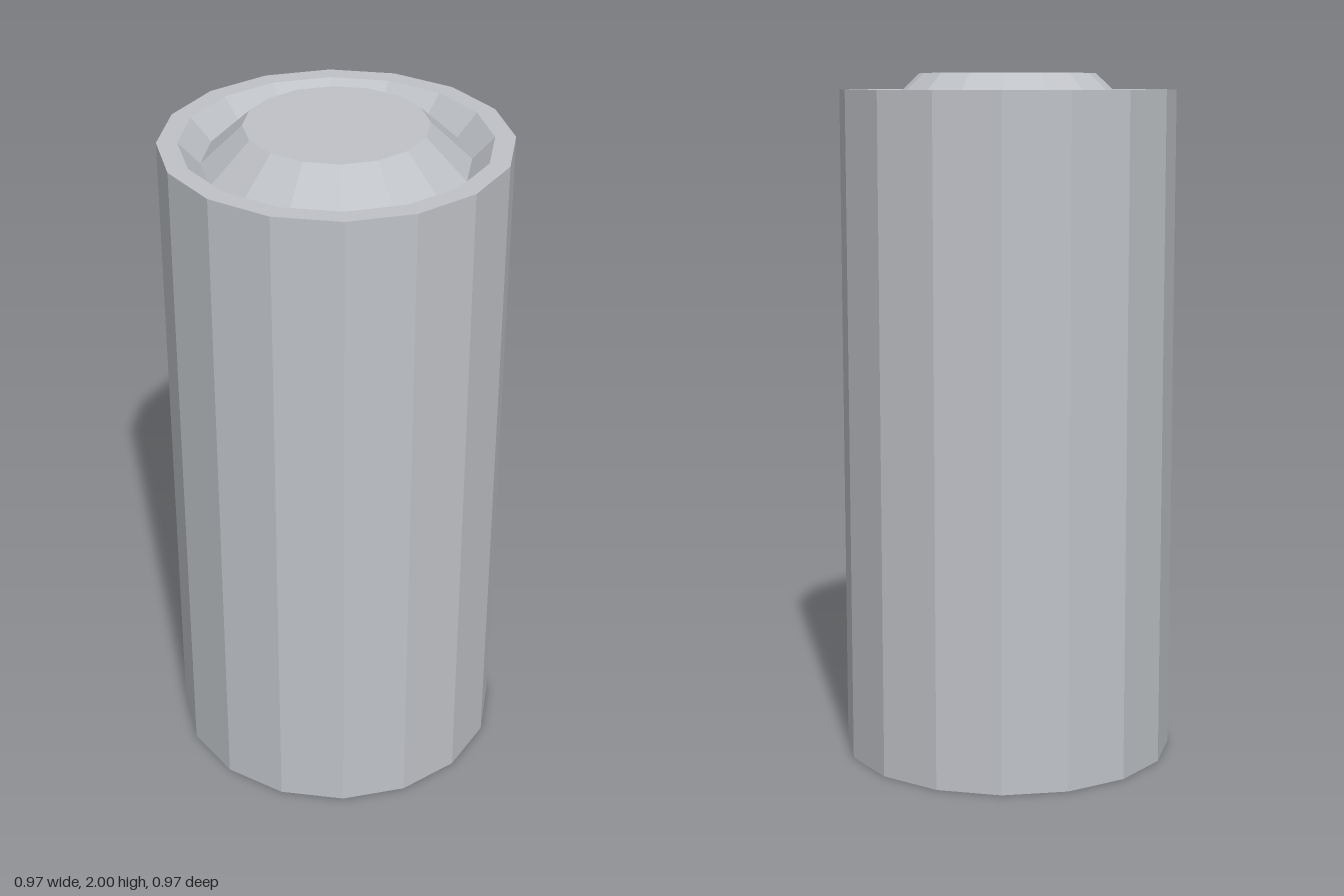
import * as THREE from 'three';

const SIDES = 16;

export function createModel() {
  const model = new THREE.Group();
  model.name = 'cylinderCell';
  const metal = new THREE.MeshStandardMaterial({ color: 0xbfc2c7, flatShading: true });
  metal.name = 'grey metal';

  // Faceted turned part from [radius, height] pairs, listed from the underside up
  const turned = (name, profile) => {
    const points = profile.map(([r, y]) => new THREE.Vector2(r, y));
    const mesh = new THREE.Mesh(new THREE.LatheGeometry(points, SIDES), metal);
    mesh.name = name;
    model.add(mesh);
  };

  // Recessed base panel
  turned('basePanel', [[0, 0.064], [0.37, 0.064]]);
  // Casing with a bevelled lip at both ends
  turned('casing', [
    [0.37, 0.064], [0.43, 0], [0.487, 0],
    [0.487, 1.953], [0.43, 1.953], [0.37, 1.89],
  ]);
  // Tapered top cap rising out of the groove
  turned('topCap', [[0.37, 1.89], [0.254, 2], [0, 2]]);

  return model;
}
